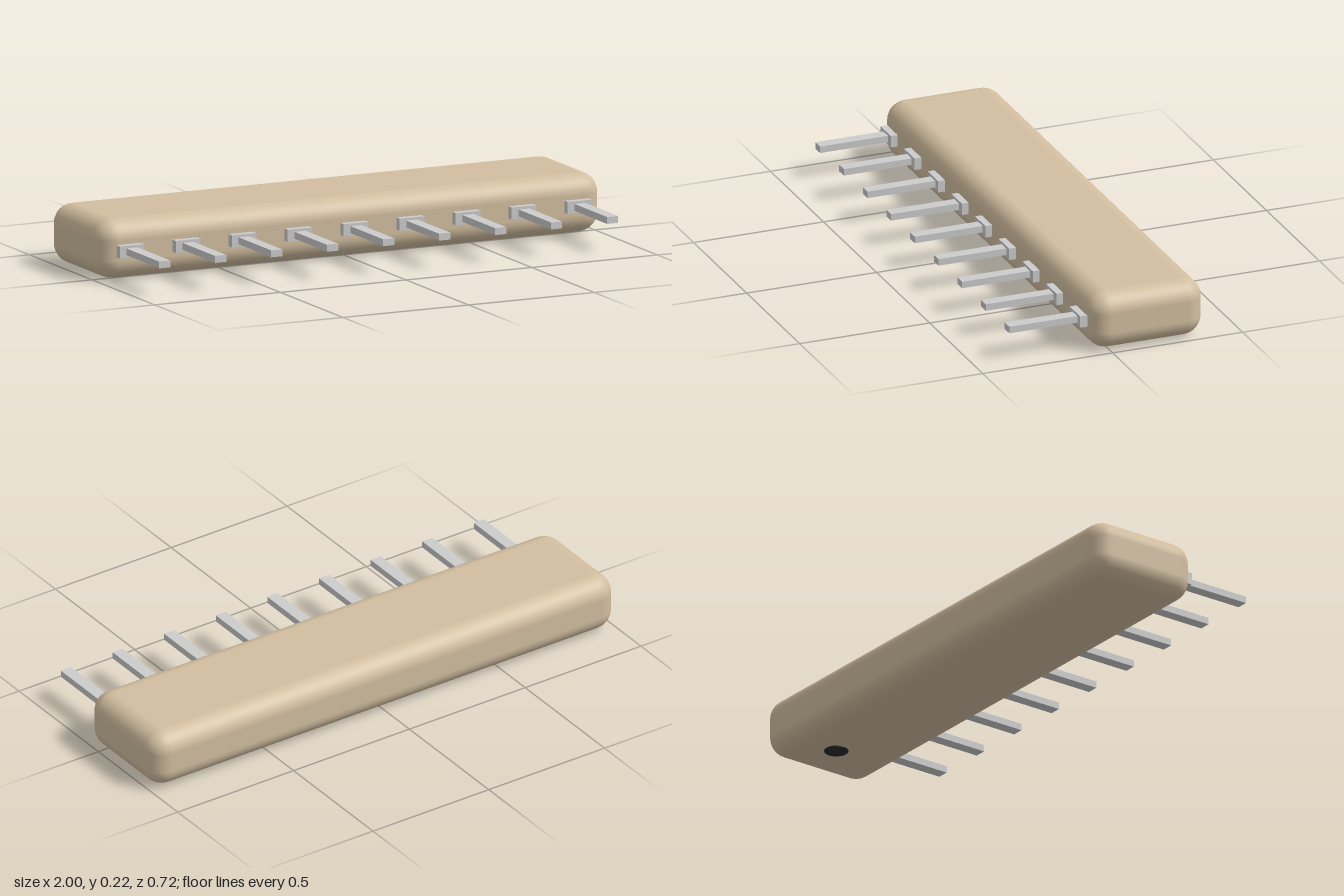
import * as THREE from 'three';
import { RoundedBoxGeometry } from 'three/addons/geometries/RoundedBoxGeometry.js';

export function createModel() {
  const model = new THREE.Group();
  model.name = 'resistorNetwork';

  const bodyMat = new THREE.MeshStandardMaterial({ color: 0xd2bea0 });
  const metalMat = new THREE.MeshStandardMaterial({ color: 0xcccccc });
  const markMat = new THREE.MeshStandardMaterial({ color: 0x2a2a2a });

  const add = (parent, name, geometry, material, x, y, z) => {
    const mesh = new THREE.Mesh(geometry, material);
    mesh.name = name;
    mesh.position.set(x, y, z);
    parent.add(mesh);
  };

  // Rounded package
  add(model, 'body', new RoundedBoxGeometry(2, 0.217, 0.437, 4, 0.073), bodyMat, 0, 0.1115, -0.1435);

  // Round mark under the first-pin end
  add(model, 'pinOneMark', new THREE.CylinderGeometry(0.043, 0.043, 0.006, 32), markMat, 0.79, 0.003, -0.188);

  // Row of nine pins, each with a wider shoulder at the body
  const count = 9, pitch = 0.2228;
  const shoulderGeo = new THREE.BoxGeometry(0.098, 0.044, 0.035);
  const leadGeo = new THREE.BoxGeometry(0.044, 0.025, 0.272);
  for (let i = 0; i < count; i++) {
    const pin = new THREE.Group();
    pin.name = 'pin' + (i + 1);
    pin.position.set(((count - 1) / 2 - i) * pitch, 0.112, 0);
    add(pin, 'shoulder', shoulderGeo, metalMat, 0, 0, 0.0835);
    add(pin, 'lead', leadGeo, metalMat, 0, 0, 0.226);
    model.add(pin);
  }
  return model;
}
